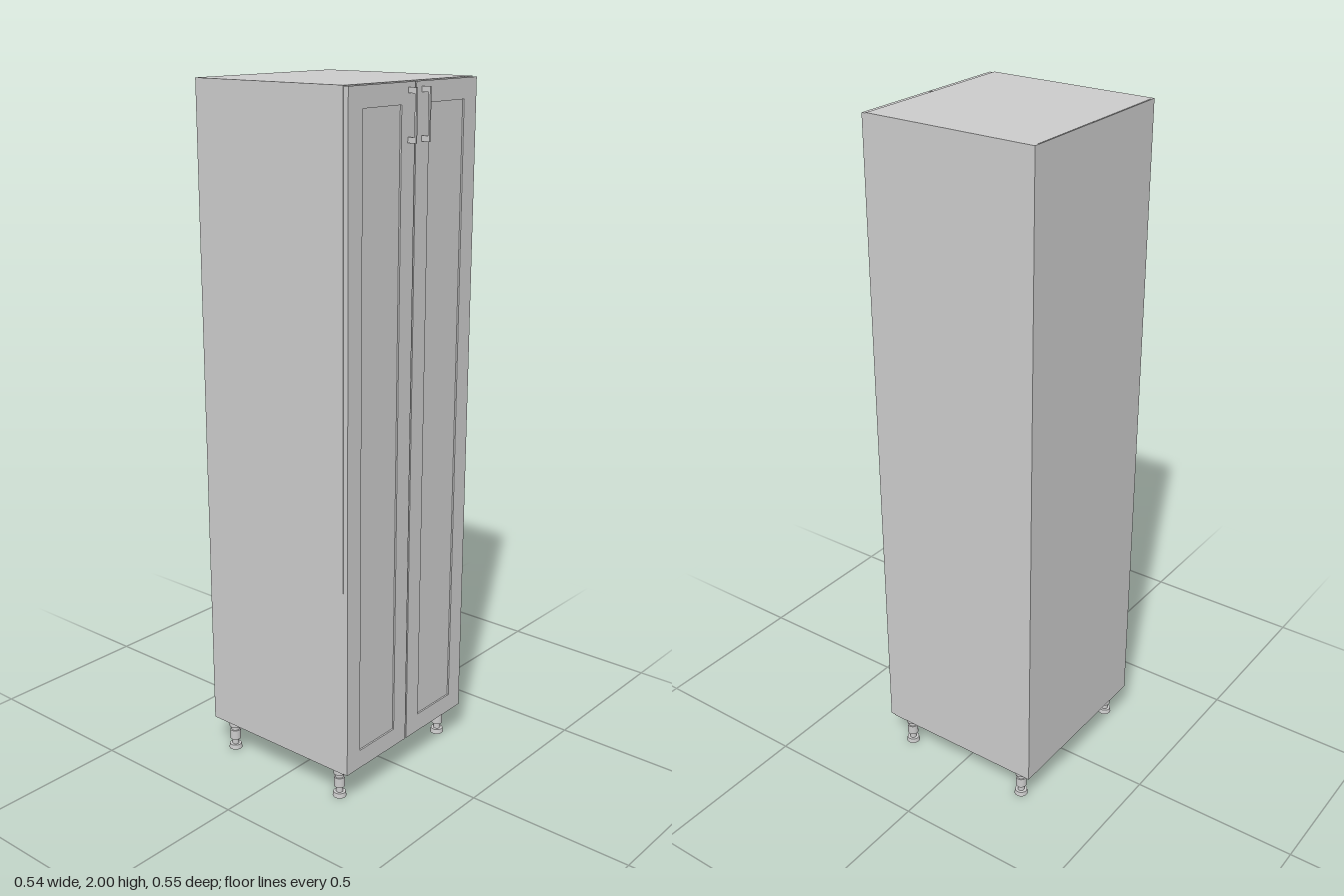
import * as THREE from 'three';

const material = new THREE.MeshStandardMaterial({ color: 0xcccccc });

// Box given by its min and max corners
function box(name, [x0, y0, z0], [x1, y1, z1]) {
  const geo = new THREE.BoxGeometry(x1 - x0, y1 - y0, z1 - z0);
  geo.translate((x0 + x1) / 2, (y0 + y1) / 2, (z0 + z1) / 2);
  const mesh = new THREE.Mesh(geo, material);
  mesh.name = name;
  return mesh;
}

const W = 0.272, T = 0.014;            // half width and board thickness
const BOTTOM = 0.1, TOP = 2;
const BACK = -0.276, FRONT = 0.25, DOOR_BACK = 0.235;

function createCarcass() {
  const g = new THREE.Group();
  g.name = 'carcass';
  const inner = W - T;
  g.add(
    box('rightSide', [-W, BOTTOM, BACK], [-inner, TOP, DOOR_BACK]),
    box('leftSide', [inner, BOTTOM, BACK], [W, TOP, DOOR_BACK]),
    box('topBoard', [-inner, TOP - T, -0.272], [inner, TOP, DOOR_BACK]),
    box('bottomBoard', [-inner, BOTTOM, -0.272], [inner, BOTTOM + T, DOOR_BACK]),
    box('backPanel', [-inner, BOTTOM, BACK], [inner, TOP, -0.2745])
  );
  return g;
}

// Framed door with a shallow recessed panel
function createDoor(side) {
  const g = new THREE.Group();
  g.name = side > 0 ? 'leftDoor' : 'rightDoor';
  const w = 0.2685, y0 = BOTTOM + 0.001, y1 = TOP - 0.002, frame = 0.056;
  const shape = new THREE.Shape();
  shape.moveTo(0, y0).lineTo(w, y0).lineTo(w, y1).lineTo(0, y1).closePath();
  const hole = new THREE.Path();
  hole.moveTo(frame, y0 + frame).lineTo(frame, y1 - frame);
  hole.lineTo(w - frame, y1 - frame).lineTo(w - frame, y0 + frame).closePath();
  shape.holes.push(hole);
  const geo = new THREE.ExtrudeGeometry(shape, { depth: FRONT - DOOR_BACK, bevelEnabled: false });
  geo.translate(0, 0, DOOR_BACK);
  const rim = new THREE.Mesh(geo, material);
  rim.name = 'doorFrame';
  g.add(rim, box('doorPanel',
    [frame, y0 + frame, DOOR_BACK], [w - frame, y1 - frame, FRONT - 0.005]));
  g.position.x = side > 0 ? 0.0025 : -0.0025 - w;
  return g;
}

// Flat bar pull on two end posts
function createHandle(side) {
  const g = new THREE.Group();
  g.name = side > 0 ? 'leftHandle' : 'rightHandle';
  const r = 0.0028, y0 = 1.845, y1 = 1.985, post = 0.015;
  g.add(
    box('handleBar', [-r, y0, 0.271], [r, y1, 0.276]),
    box('lowerPost', [-r, y0, FRONT], [r, y0 + post, 0.271]),
    box('upperPost', [-r, y1 - post, FRONT], [r, y1, 0.271])
  );
  g.position.x = side * 0.029;
  return g;
}

// Adjustable leg: stacked turned sections, [bottom y, top y, bottom radius, top radius]
function createLeg(x, z) {
  const g = new THREE.Group();
  g.name = 'leg';
  const sections = {
    foot: [0, 0.014, 0.02, 0.018],
    screw: [0.014, 0.032, 0.01, 0.01],
    collar: [0.032, 0.062, 0.016, 0.016],
    neck: [0.062, 0.074, 0.012, 0.012],
    socket: [0.074, 0.094, 0.018, 0.018],
    mountingPlate: [0.094, 0.1, 0.021, 0.021],
  };
  for (const [name, [y0, y1, r0, r1]] of Object.entries(sections)) {
    const mesh = new THREE.Mesh(new THREE.CylinderGeometry(r1, r0, y1 - y0, 24), material);
    mesh.name = name;
    mesh.position.y = (y0 + y1) / 2;
    g.add(mesh);
  }
  g.position.set(x, 0, z);
  return g;
}

export function createModel() {
  const model = new THREE.Group();
  model.name = 'tallCabinet';
  model.add(createCarcass());
  for (const side of [-1, 1]) {
    model.add(createDoor(side), createHandle(side));
    for (const z of [0.193, -0.225]) model.add(createLeg(side * 0.237, z));
  }
  return model;
}
